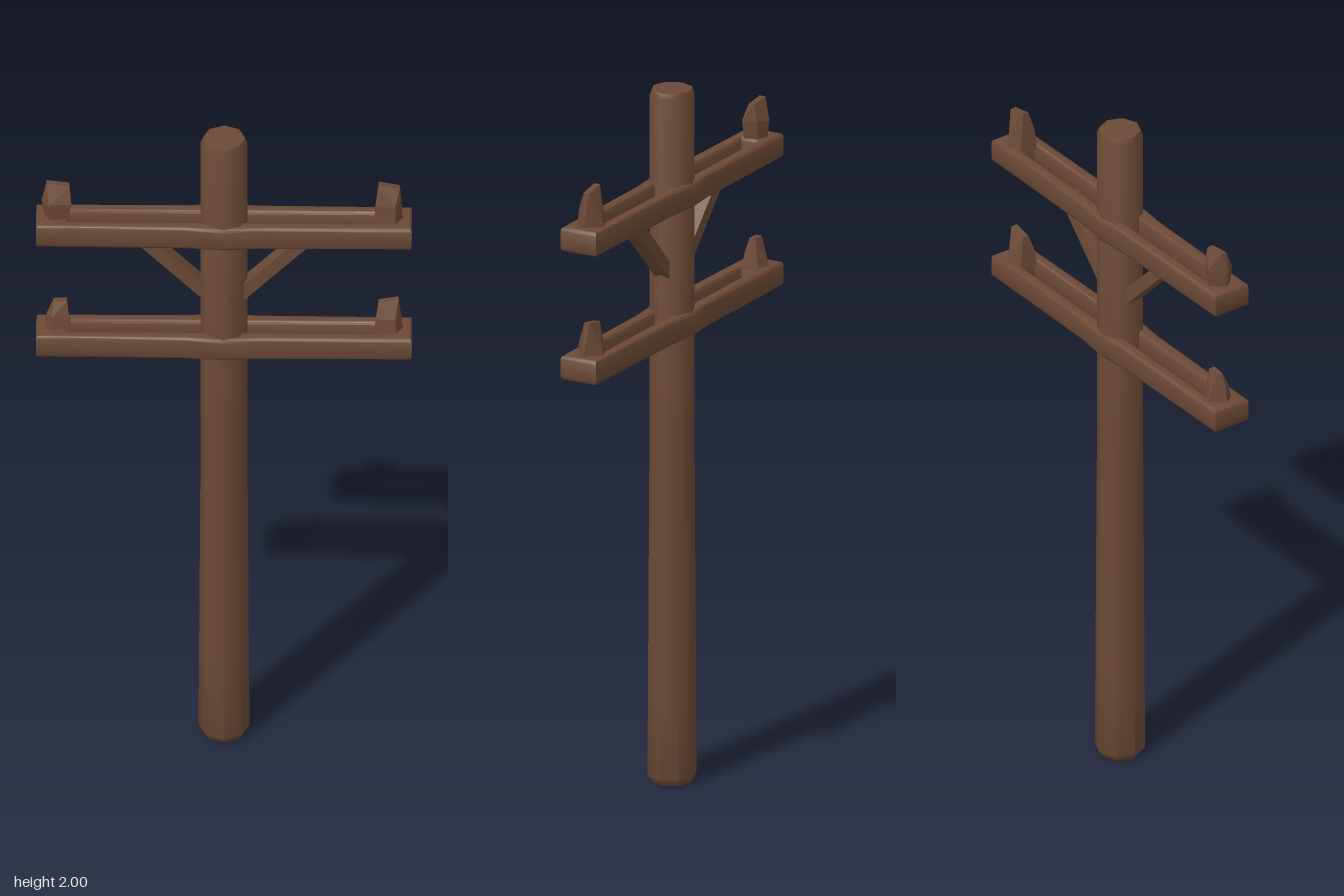
import * as THREE from 'three';
import { toCreasedNormals } from 'three/addons/utils/BufferGeometryUtils.js';
import { ConvexGeometry } from 'three/addons/geometries/ConvexGeometry.js';

const V = (x, y, z) => new THREE.Vector3(x, y, z);

export function createModel() {
  const group = new THREE.Group();
  const wood = new THREE.MeshStandardMaterial({ color: 0x6b4937 });
  wood.name = 'dark brown wood';

  const add = (name, geometry) => {
    const mesh = new THREE.Mesh(geometry, wood);
    mesh.name = name;
    group.add(mesh);
    return mesh;
  };

  // Pole: slightly flared at the foot, soft bevels at both ends
  const profile = [[0, 0.01], [0.055, 0], [0.07, 0.02], [0.068, 0.3], [0.064, 1], [0.064, 1.98], [0.058, 1.995], [0, 2]];
  const pole = new THREE.LatheGeometry(profile.map(([r, y]) => new THREE.Vector2(r, y)), 8);
  add('pole', toCreasedNormals(pole, 0.9));

  // Crossarms: a pair of rails clasping the pole and joined by solid end blocks
  const armGeometry = () => {
    const shape = new THREE.Shape([
      [-0.515, -0.056], [-0.1, -0.059], [0, -0.068], [0.1, -0.059], [0.515, -0.056],
      [0.515, 0.056], [0.1, 0.059], [0, 0.068], [-0.1, 0.059], [-0.515, 0.056],
    ].map(([x, y]) => new THREE.Vector2(x, y)));
    shape.holes.push(new THREE.Path([
      [-0.425, -0.024], [-0.425, 0.024], [0.425, 0.024], [0.425, -0.024],
    ].map(([x, y]) => new THREE.Vector2(x, y))));
    const g = new THREE.ExtrudeGeometry(shape, {
      depth: 0.052, bevelEnabled: true, bevelThickness: 0.009,
      bevelSize: 0.008, bevelOffset: -0.008, bevelSegments: 2,
    });
    g.translate(0, 0, 0.009).rotateX(-Math.PI / 2);
    return toCreasedNormals(g, 0.9);
  };
  add('upperCrossarm', armGeometry()).position.y = 1.66;
  add('lowerCrossarm', armGeometry()).position.y = 1.29;

  // Diagonal braces under the upper crossarm
  for (const side of [1, -1]) {
    const from = V(side * 0.03, 1.465, 0), to = V(side * 0.235, 1.675, 0);
    const brace = add(side > 0 ? 'leftBrace' : 'rightBrace',
      new THREE.BoxGeometry(0.036, from.distanceTo(to), 0.046));
    brace.position.copy(from).add(to).multiplyScalar(0.5);
    brace.rotation.z = -Math.atan2(to.x - from.x, to.y - from.y);
  }

  // Insulators: roughly hewn five-sided pegs narrowing to a short ridge
  const outline = [[-0.042, 0], [-0.004, -0.048], [0.034, -0.03], [0.04, 0.022], [-0.022, 0.03]];
  const insulator = (name, x, y, h, baseScale, midScale, ridge, flip) => {
    const points = [];
    for (const [dx, dz] of outline) {
      points.push(V(dx * baseScale * flip, -0.005, dz * baseScale));
      points.push(V(dx * midScale * flip, h * 0.5, dz * midScale * 0.88));
    }
    for (const [rx, ry] of ridge) {
      points.push(V(rx, ry, -0.016), V(rx, ry, 0.002));
    }
    add(name, new ConvexGeometry(points)).position.set(x, y, 0);
  };
  insulator('upperRightInsulator', -0.458, 1.725, 0.11, 0.75, 1.0, [[-0.028, 0.112], [0.034, 0.104]], 1);
  insulator('upperLeftInsulator', 0.45, 1.725, 0.11, 0.98, 0.88, [[-0.026, 0.115], [0.032, 0.104]], -1);
  insulator('lowerRightInsulator', -0.455, 1.355, 0.09, 0.95, 0.75, [[-0.012, 0.086], [0.024, 0.088]], 1);
  insulator('lowerLeftInsulator', 0.45, 1.355, 0.09, 1.0, 0.85, [[-0.026, 0.09], [0.028, 0.1]], -1);

  return group;
}
